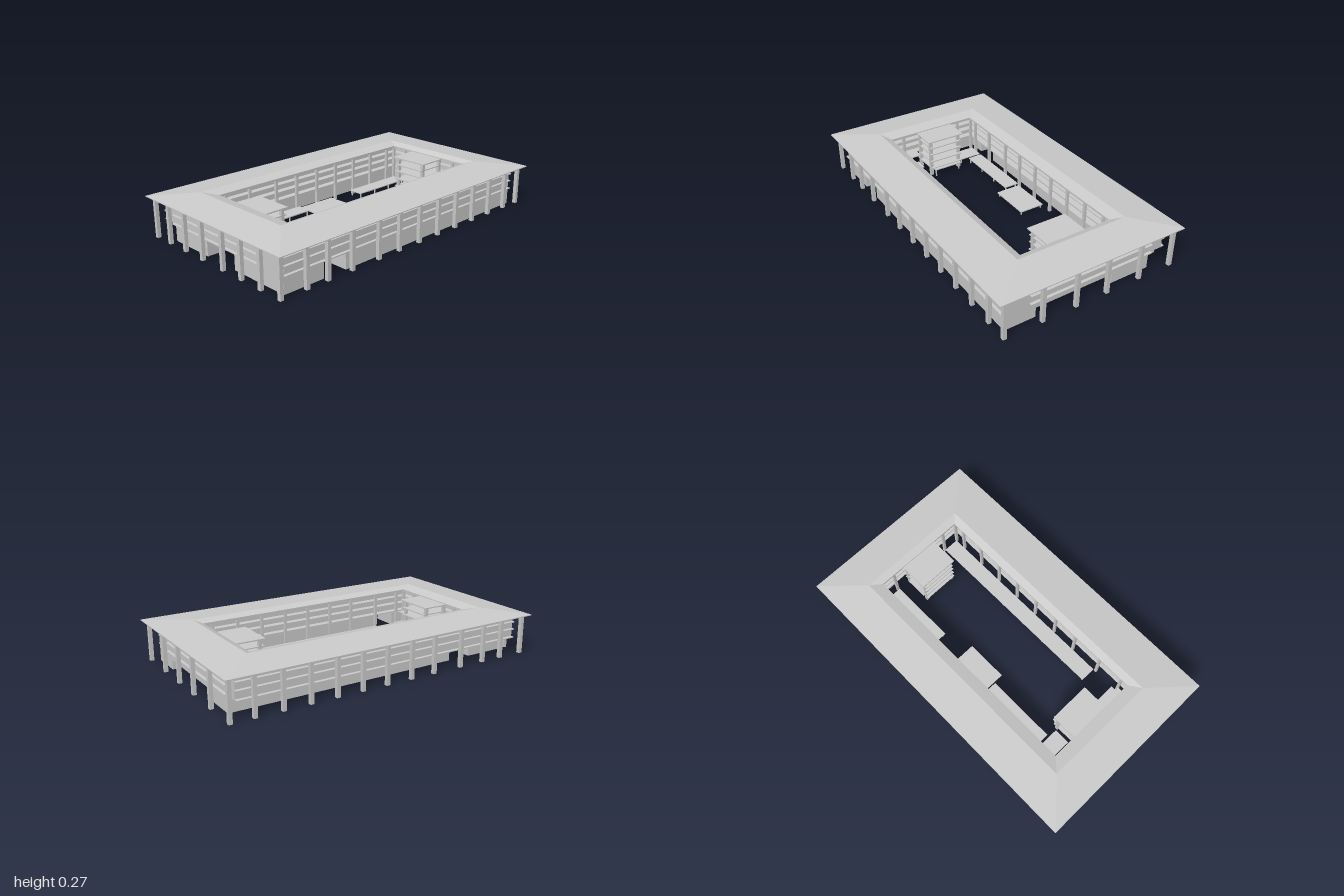
import * as THREE from 'three';

const material = new THREE.MeshStandardMaterial({ color: 0xcccccc, flatShading: true });

// Box given by its limits on each axis
function box(parent, name, x0, x1, y0, y1, z0, z1) {
  const mesh = new THREE.Mesh(new THREE.BoxGeometry(x1 - x0, y1 - y0, z1 - z0), material);
  mesh.position.set((x0 + x1) / 2, (y0 + y1) / 2, (z0 + z1) / 2);
  mesh.name = name;
  parent.add(mesh);
  return mesh;
}

function post(parent, name, x, z, top, size = 0.022, bottom = 0) {
  const h = size / 2;
  box(parent, name, x - h, x + h, bottom, top, z - h, z + h);
}

function group(parent, name) {
  const g = new THREE.Group();
  g.name = name;
  parent.add(g);
  return g;
}

// Four-sided ring joined through rectangular loops [x0, x1, z0, z1, y]
function loftRing(loops) {
  const corners = ([x0, x1, z0, z1, y]) => [[x0, y, z1], [x1, y, z1], [x1, y, z0], [x0, y, z0]];
  const pos = [];
  loops.forEach((loop, k) => {
    const a = corners(loop), b = corners(loops[(k + 1) % loops.length]);
    for (let i = 0; i < 4; i++) {
      const j = (i + 1) % 4;
      pos.push(...a[i], ...a[j], ...b[j], ...a[i], ...b[j], ...b[i]);
    }
  });
  const geo = new THREE.BufferGeometry();
  geo.setAttribute('position', new THREE.Float32BufferAttribute(pos, 3));
  geo.computeVertexNormals();
  return geo;
}

// Thin cover on slim legs
function canopy(parent, name, x0, x1, z0, z1, y, count) {
  const g = group(parent, name);
  box(g, 'canopyTop', x0, x1, y, y + 0.006, z0, z1);
  for (let i = 0; i < count; i++) {
    const z = z0 + 0.01 + (z1 - z0 - 0.02) * i / (count - 1);
    for (const x of [x0 + 0.01, x1 - 0.01]) post(g, 'canopyLeg', x, z, y, 0.007);
  }
}

// Open stair tower with stacked landings
function tower(parent, name, x0, x1, z0, z1) {
  const g = group(parent, name);
  box(g, 'towerRoof', x0, x1, 0.24, 0.247, z0, z1);
  for (const y of [0.05, 0.1, 0.15, 0.195]) {
    box(g, 'landing', x0 + 0.015, x1 - 0.015, y, y + 0.006, z0, z1);
  }
  for (const x of [x0 + 0.025, x1 - 0.025]) {
    for (const z of [z0 + 0.025, z1 - 0.025]) post(g, 'towerPost', x, z, 0.24, 0.02);
  }
}

export function createModel() {
  const model = new THREE.Group();
  model.name = 'courtyardBuilding';

  // Hipped roof around the court
  const roof = new THREE.Mesh(loftRing([
    [-0.585, 0.585, -1, 1, 0.24],
    [-0.585, 0.585, -1, 1, 0.245],
    [-0.36, 0.335, -0.775, 0.785, 0.27],
    [-0.29, 0.29, -0.73, 0.71, 0.252],
    [-0.29, 0.29, -0.73, 0.71, 0.24],
  ]), material);
  roof.name = 'roof';
  model.add(roof);

  // Upper storeys
  const upper = new THREE.Mesh(loftRing([
    [-0.51, 0.51, -0.92, 0.92, 0.1],
    [-0.51, 0.51, -0.92, 0.92, 0.242],
    [-0.35, 0.35, -0.79, 0.77, 0.242],
    [-0.35, 0.35, -0.79, 0.77, 0.1],
  ]), material);
  upper.name = 'upperStoreys';
  model.add(upper);

  // Ground floor blocks with passages between them
  const ground = group(model, 'groundFloor');
  for (const [x0, x1, z0, z1] of [
    [-0.42, -0.12, 0.77, 0.92], [0.12, 0.51, 0.77, 0.92],
    [-0.42, -0.17, -0.92, -0.79], [0.32, 0.51, -0.92, -0.79],
    [0.35, 0.51, -0.79, 0.51], [0.35, 0.51, 0.66, 0.77],
    [-0.42, -0.35, -0.79, 0.51], [-0.42, -0.35, 0.66, 0.77],
  ]) box(ground, 'groundBlock', x0, x1, 0, 0.1, z0, z1);
  box(ground, 'backLintel', -0.17, 0.32, 0.058, 0.1, -0.92, -0.79);

  // Gallery slabs outside and around the court
  const galleries = group(model, 'galleries');
  for (const y of [0.1, 0.15, 0.195]) {
    const t = y + 0.006;
    for (const s of [-1, 1]) {
      const [zi, za] = s > 0 ? [0.92, 0.937] : [-0.937, -0.92];
      box(galleries, 'endGallery', -0.43, 0.36, y, t, zi, za);
      const [xi, xa] = s > 0 ? [0.51, 0.527] : [-0.53, -0.51];
      box(galleries, 'sideGallery', xi, xa, y, t, -0.92, 0.92);
    }
    const inner = new THREE.Mesh(loftRing([
      [-0.35, 0.35, -0.79, 0.77, y], [-0.35, 0.35, -0.79, 0.77, t],
      [-0.31, 0.31, -0.75, 0.73, t], [-0.31, 0.31, -0.75, 0.73, y],
    ]), material);
    inner.name = 'courtGallery';
    galleries.add(inner);
  }

  // Posts along all eaves
  const posts = group(model, 'posts');
  const sideZ = [0.8, 0.66, 0.49, 0.295, 0.135, -0.03, -0.19, -0.35, -0.51, -0.67, -0.83];
  for (const s of [-1, 1]) {
    for (const z of [0.965, ...sideZ, -0.965]) post(posts, 'outerPost', s * 0.54, z, 0.243);
    for (const z of sideZ.filter((v) => Math.abs(v) < 0.7)) post(posts, 'courtPost', s * 0.305, z, 0.243, 0.016);
  }
  for (const x of [-0.41, -0.26, -0.1, 0.08, 0.235, 0.39]) post(posts, 'frontPost', x, 0.965, 0.243);
  for (const x of [-0.32, -0.1, 0.1, 0.31]) post(posts, 'backPost', x, -0.965, 0.243);
  for (const x of [-0.305, -0.2, 0.2, 0.305]) {
    post(posts, 'courtEndPost', x, 0.725, 0.243, 0.016);
    post(posts, 'courtEndPost', x, -0.745, 0.243, 0.016);
  }

  // Court structures
  const court = group(model, 'court');
  tower(court, 'backTower', -0.13, 0.12, -0.76, -0.55);
  tower(court, 'frontTower', -0.14, 0.11, 0.55, 0.74);
  canopy(court, 'longCanopy', 0.195, 0.29, -0.73, 0.48, 0.03, 8);
  canopy(court, 'rearCanopy', -0.29, -0.195, -0.73, -0.31, 0.03, 4);
  canopy(court, 'frontCanopy', -0.29, -0.195, 0.13, 0.57, 0.03, 4);
  canopy(court, 'pavilion', -0.29, -0.13, -0.14, 0.12, 0.02, 2);
  canopy(court, 'cornerCanopy', -0.29, -0.14, 0.585, 0.685, 0.03, 2);
  canopy(court, 'towerCanopy', -0.11, 0.08, 0.53, 0.62, 0.045, 2);
  box(court, 'bridgeUpper', 0.11, 0.29, 0.1, 0.106, 0.67, 0.74);
  box(court, 'bridgeLower', 0.11, 0.29, 0.03, 0.036, 0.63, 0.71);
  box(court, 'boothLeft', 0.015, 0.06, 0, 0.03, -0.72, -0.6);
  box(court, 'boothRight', -0.09, -0.035, 0, 0.03, -0.72, -0.6);
  box(court, 'boothTop', -0.04, 0.025, 0.036, 0.05, -0.72, -0.6);
  box(court, 'boothRoof', -0.12, 0.12, 0.03, 0.036, -0.73, -0.59);
  return model;
}
